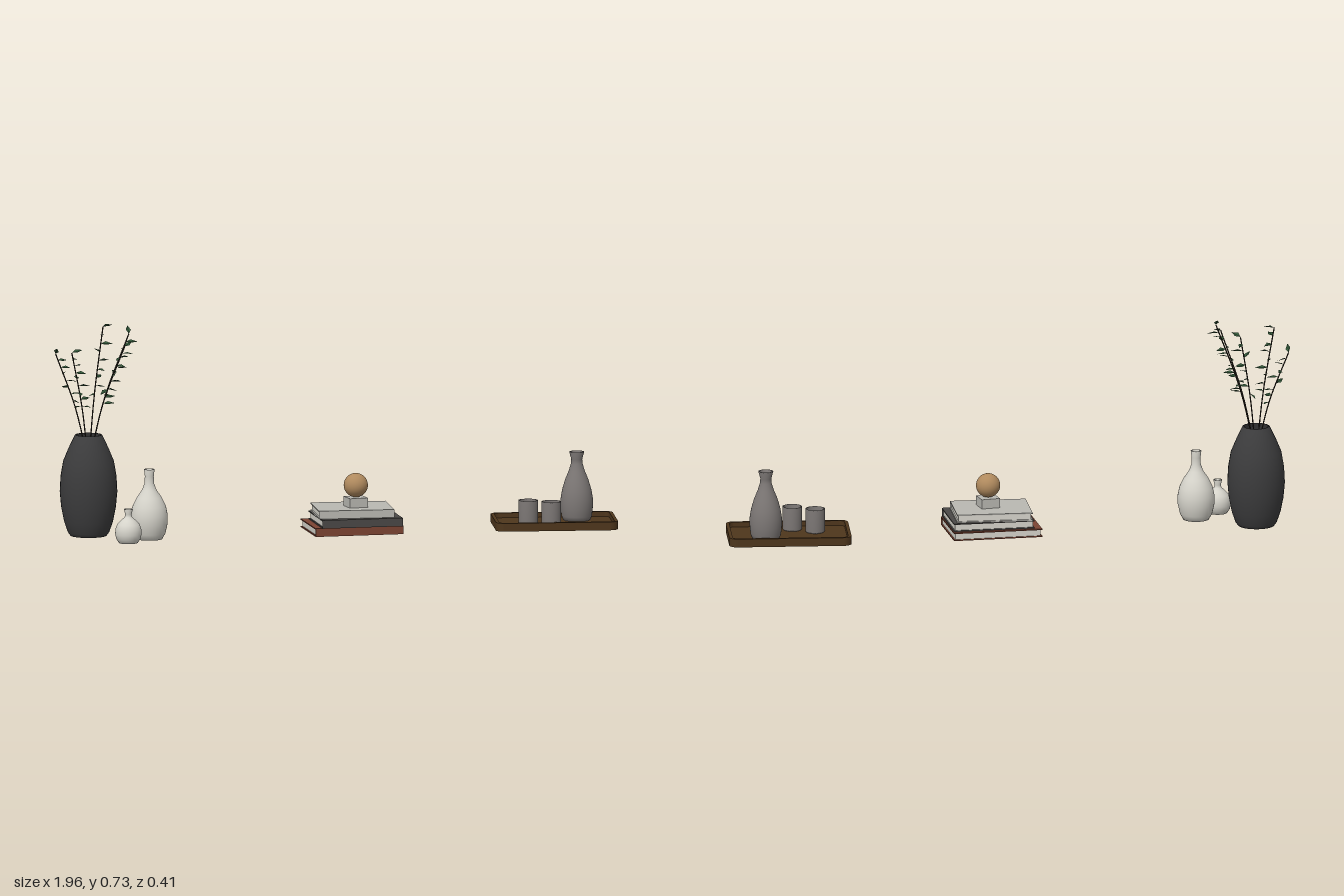
import * as THREE from 'three';

const mat = (name, color, side = THREE.FrontSide) => {
  const m = new THREE.MeshStandardMaterial({ color, side });
  m.name = name;
  return m;
};

export function createModel() {
  const root = new THREE.Group();
  root.name = 'shelfDecor';
  const charcoal = mat('charcoal', 0x3c3c3d, THREE.DoubleSide);
  const cream = mat('cream', 0xd6d4cb, THREE.DoubleSide);
  const taupe = mat('taupe', 0x7c7775, THREE.DoubleSide);
  const walnut = mat('walnut', 0x4e361c);
  const rust = mat('rust', 0x7c4433);
  const slate = mat('slate', 0x4a4846);
  const paleGrey = mat('paleGrey', 0xb9b8b2);
  const wood = mat('wood', 0xb08a5e);
  const bark = mat('bark', 0x2e261e);
  const leafGreen = mat('leafGreen', 0x34593a, THREE.DoubleSide);

  const add = (parent, name, geo, material, x = 0, y = 0, z = 0) => {
    const m = new THREE.Mesh(geo, material);
    m.name = name;
    m.position.set(x, y, z);
    parent.add(m);
    return m;
  };
  const group = (name, x, y, z, ry = 0) => {
    const g = new THREE.Group();
    g.name = name;
    g.position.set(x, y, z);
    g.rotation.y = ry;
    root.add(g);
    return g;
  };
  const box = (w, h, d) => new THREE.BoxGeometry(w, h, d);
  const lathe = (pts) => new THREE.LatheGeometry(pts.map(p => new THREE.Vector2(...p)), 32);

  // Vases: outer profile, then a short lip and the inside of the neck
  add(root, 'largeVase', lathe([[0, 0], [0.063, 0], [0.072, 0.012], [0.085, 0.05], [0.095, 0.1], [0.1, 0.155],
    [0.097, 0.21], [0.088, 0.262], [0.068, 0.31], [0.047, 0.353], [0.041, 0.353], [0.06, 0.31], [0.075, 0.26], [0, 0.25]]),
    charcoal, -0.851, 0, -0.041);
  add(root, 'mediumVase', lathe([[0, 0], [0.045, 0], [0.056, 0.02], [0.064, 0.055], [0.064, 0.085], [0.058, 0.115],
    [0.043, 0.146], [0.025, 0.172], [0.0165, 0.195], [0.0155, 0.22], [0.0185, 0.244], [0.014, 0.244], [0.011, 0.21], [0, 0.2]]),
    cream, -0.657, 0, 0.074);
  add(root, 'smallVase', lathe([[0, 0], [0.033, 0], [0.042, 0.014], [0.046, 0.03], [0.045, 0.048], [0.039, 0.065],
    [0.025, 0.08], [0.013, 0.09], [0.011, 0.1], [0.0155, 0.118], [0.011, 0.118], [0.008, 0.1], [0, 0.095]]),
    cream, -0.744, 0, 0.152);

  // Branches: a curved stem with alternating, slightly folded diamond leaves
  const leafGeo = new THREE.BufferGeometry();
  leafGeo.setAttribute('position', new THREE.Float32BufferAttribute(
    [0, 0, 0, 0.009, 0.003, 0.017, 0, 0, 0.042, -0.009, 0.003, 0.017], 3));
  leafGeo.setIndex([0, 2, 1, 0, 3, 2]);
  const leafShape = leafGeo.toNonIndexed();
  leafShape.computeVertexNormals();
  const branches = group('branches', -0.851, 0, -0.041);
  const tips = [[-0.085, 0.665, 0.15], [0.11, 0.675, 0.1], [0.135, 0.71, 0.04], [-0.105, 0.63, -0.065], [0.075, 0.71, -0.14]];
  tips.forEach(([x, y, z], i) => {
    const curve = new THREE.CatmullRomCurve3([
      new THREE.Vector3(x * 0.02, 0.26, z * 0.02),
      new THREE.Vector3(x * 0.4, 0.26 + (y - 0.26) * 0.5, z * 0.4),
      new THREE.Vector3(x, y, z)]);
    add(branches, 'stem', new THREE.TubeGeometry(curve, 10, 0.0023, 5), bark);
    const count = 9;
    for (let k = 0; k < count; k++) {
      const t = 0.5 + 0.5 * k / (count - 1);
      const p = curve.getPoint(t);
      const leaf = add(branches, 'leaf', leafShape, leafGreen, p.x, p.y, p.z);
      const yaw = k * 2.6 + i * 1.1;
      const lift = k === count - 1 ? 0.35 : 0.1 * Math.sin(k * 2 + i);
      leaf.lookAt(p.x + Math.sin(yaw), p.y + lift, p.z + Math.cos(yaw));
      leaf.rotateZ(0.6 * Math.sin(k * 1.7 + i));
    }
  });

  // Stacked books with the spine on the front
  const book = (x, y, z, w, h, d, ry, cover) => {
    const g = group('book', x, y, z, ry), t = 0.004;
    add(g, 'bottomCover', box(w, t, d), cover, 0, t / 2, 0);
    add(g, 'topCover', box(w, t, d), cover, 0, h - t / 2, 0);
    add(g, 'spine', box(w, h - 2 * t, t), cover, 0, h / 2, d / 2 - t / 2);
    add(g, 'pages', box(w - 0.01, h - 2 * t, d - t - 0.005), cream, 0, h / 2, 0.0005);
  };
  book(0.069, 0, 0.005, 0.312, 0.029, 0.238, 0.05, rust);
  book(0.08, 0.029, 0.015, 0.284, 0.029, 0.233, 0.04, slate);
  book(0.07, 0.058, 0.004, 0.264, 0.028, 0.205, -0.02, paleGrey);

  // Ball on a small block
  const ornament = group('ornament', 0.08, 0.086, 0.016, 0.17);
  add(ornament, 'block', box(0.066, 0.033, 0.066), paleGrey, 0, 0.0165, 0);
  add(ornament, 'ball', new THREE.SphereGeometry(0.042, 32, 20), wood, 0, 0.075, 0);

  // Tray: rounded floor plate and raised rim
  const roundedRect = (w, d, r, Type) => {
    const s = new Type(), a = w / 2 - r, b = d / 2 - r;
    s.absarc(a, b, r, 0, Math.PI / 2);
    s.absarc(-a, b, r, Math.PI / 2, Math.PI);
    s.absarc(-a, -b, r, Math.PI, Math.PI * 1.5);
    s.absarc(a, -b, r, Math.PI * 1.5, Math.PI * 2);
    s.closePath();
    return s;
  };
  const slab = (shape, depth) => new THREE.ExtrudeGeometry(shape, { depth, bevelEnabled: false, curveSegments: 6 })
    .rotateX(-Math.PI / 2);
  const tray = group('tray', 0.78, 0, 0.009, -0.08);
  add(tray, 'trayFloor', slab(roundedRect(0.425, 0.256, 0.03, THREE.Shape), 0.012), walnut);
  const rim = roundedRect(0.425, 0.256, 0.03, THREE.Shape);
  rim.holes.push(roundedRect(0.401, 0.232, 0.019, THREE.Path));
  add(tray, 'trayRim', slab(rim, 0.017), walnut, 0, 0.012, 0);

  // Bottle and open cups standing on the tray
  add(root, 'bottle', lathe([[0, 0], [0.047, 0], [0.053, 0.015], [0.056, 0.045], [0.056, 0.075], [0.051, 0.105],
    [0.041, 0.14], [0.028, 0.172], [0.02, 0.198], [0.019, 0.213], [0.026, 0.239], [0.021, 0.239], [0.015, 0.21], [0, 0.2]]),
    taupe, 0.866, 0.012, -0.032);
  for (const [x, z] of [[0.684, 0.032], [0.758, 0.075]]) {
    add(root, 'cup', lathe([[0, 0], [0.031, 0], [0.034, 0.004], [0.034, 0.083], [0.03, 0.083], [0.029, 0.008], [0, 0.008]]),
      taupe, x, 0.012, z);
  }
  return root;
}
